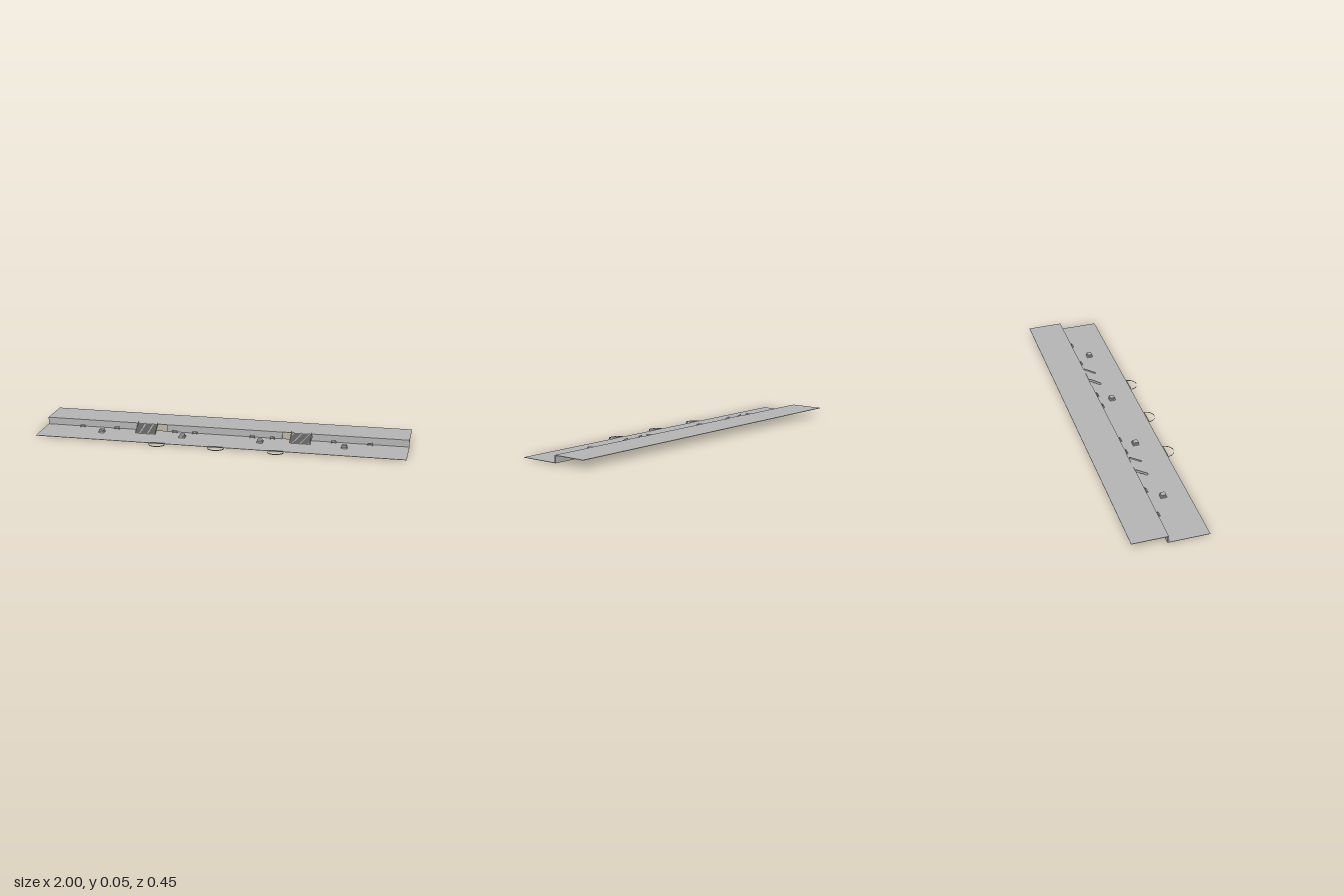
import * as THREE from 'three';

export function createModel() {
  const model = new THREE.Group();
  const concrete = new THREE.MeshStandardMaterial({ color: 0xb4b4b4 });
  const sheet = new THREE.MeshStandardMaterial({ color: 0xb4b4b4, side: THREE.DoubleSide });
  concrete.name = 'concrete grey';
  sheet.name = 'sheet grey';

  // Box given by its lower and upper corners
  function box(name, x0, x1, y0, y1, z0, z1, parent = model) {
    const mesh = new THREE.Mesh(new THREE.BoxGeometry(x1 - x0, y1 - y0, z1 - z0), concrete);
    mesh.position.set((x0 + x1) / 2, (y0 + y1) / 2, (z0 + z1) / 2);
    mesh.name = name;
    parent.add(mesh);
    return mesh;
  }

  // Two terraces joined by a retaining wall with openings at the stairs
  const floor = 0.005, deck = 0.043;
  box('lowerTerrace', -1, 1, 0.003, floor, -0.041, 0.178);
  box('upperTerrace', -1, 1, 0.0405, deck, -0.225, -0.037);
  box('wallMiddle', -0.32, 0.32, floor, deck, -0.042, -0.035);
  for (const s of [-1, 1]) {
    const a = s * 0.48, b = s;
    box('wallOuter', Math.min(a, b), Math.max(a, b), floor, deck, -0.042, -0.035);
  }

  // Side panel of a staircase, drawn as (z, y)
  const panel = new THREE.Shape([
    new THREE.Vector2(0.031, 0.005), new THREE.Vector2(0.031, 0.014),
    new THREE.Vector2(-0.030, 0.051), new THREE.Vector2(-0.035, 0.052),
    new THREE.Vector2(-0.035, 0.041), new THREE.Vector2(0.025, 0.005),
  ]);
  const panelGeometry = new THREE.ExtrudeGeometry(panel, { depth: 0.003, bevelEnabled: false });
  panelGeometry.rotateY(-Math.PI / 2).scale(1, 1, 1);

  function stairs(x) {
    const group = new THREE.Group();
    group.name = 'stairs';
    const steps = 10, run = 0.066 / steps, rise = (deck - floor) / steps;
    for (let i = 0; i < steps; i++) {
      const z = 0.030 - i * run, y = floor + (i + 1) * rise;
      box('step', -0.053, 0.053, Math.max(floor, y - 0.007), y, z - run, z, group);
    }
    for (const s of [-1, 1]) {
      const side = new THREE.Mesh(panelGeometry, concrete);
      side.name = 'stairSide';
      side.position.x = s * 0.0545 + 0.0015;
      group.add(side);
    }
    group.position.x = x;
    model.add(group);
  }

  // Bench: low seat with an upright back
  function bench(x) {
    const group = new THREE.Group();
    group.name = 'bench';
    box('benchSeat', -0.014, 0.014, 0.0095, 0.012, -0.020, -0.013, group);
    box('benchBack', -0.014, 0.014, 0.0095, 0.018, -0.022, -0.020, group);
    for (const s of [-1, 1]) box('benchLeg', s * 0.012 - 0.002, s * 0.012 + 0.002, floor, 0.0095, -0.020, -0.014, group);
    group.position.x = x;
    model.add(group);
  }

  // Planter: square base with a smaller raised tier
  function planter(x) {
    const group = new THREE.Group();
    group.name = 'planter';
    box('planterBase', -0.016, 0.016, floor, 0.013, 0.033, 0.065, group);
    box('planterNeck', -0.010, 0.010, 0.013, 0.016, 0.039, 0.059, group);
    box('planterTop', -0.013, 0.013, 0.016, 0.022, 0.037, 0.062, group);
    group.position.x = x;
    model.add(group);
  }

  for (const s of [-1, 1]) {
    stairs(s * 0.425);
    for (const x of [0.16, 0.27, 0.6, 0.795]) bench(s * x);
    for (const x of [0.213, 0.665]) planter(s * x);
  }

  // Thin hoops half under the front edge, each with a low marker
  for (const x of [-0.32, 0, 0.32]) {
    const hoop = new THREE.Mesh(new THREE.CylinderGeometry(0.045, 0.045, 0.005, 32, 1, true), sheet);
    hoop.name = 'hoop';
    hoop.position.set(x, 0.0025, 0.18);
    model.add(hoop);
    box('edgeMarker', x - 0.04, x + 0.04, 0.003, 0.009, 0.178, 0.181);
  }
  return model;
}
